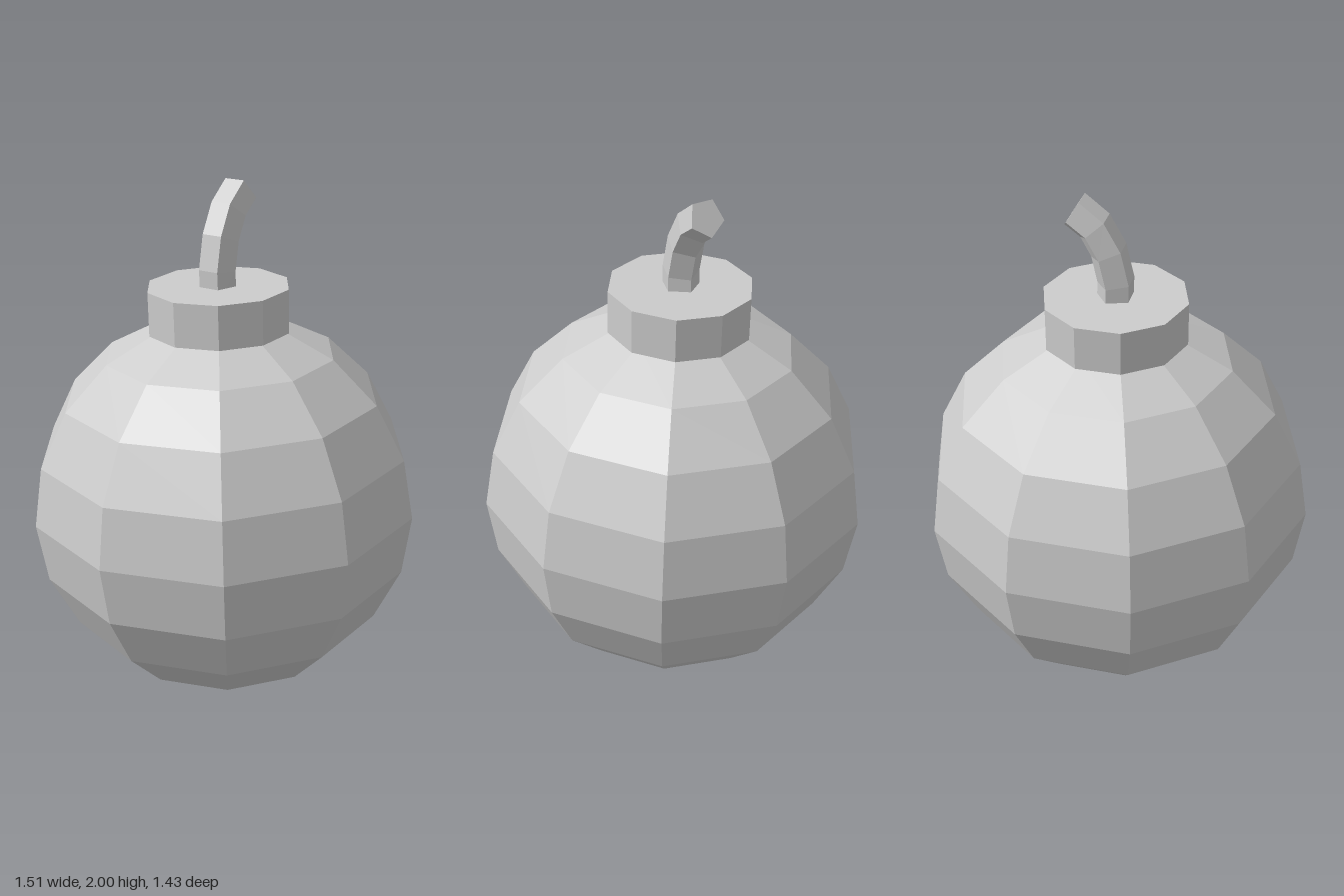
import * as THREE from 'three';

const SIDES = 10;
const CENTRE_Y = 0.758;

// Bent five-sided rod: one pentagon loop per centreline point, closed at both ends.
function bentRod(path, radius, sides) {
  const positions = [];
  const index = [];
  path.forEach(([x, y, lean]) => {
    // lean = angle of the rod away from vertical, towards +x
    for (let i = 0; i < sides; i++) {
      const a = (i / sides) * Math.PI * 2;
      const u = Math.cos(a) * radius;
      positions.push(x + u * Math.cos(lean), y - u * Math.sin(lean), -Math.sin(a) * radius);
    }
  });
  for (let r = 0; r < path.length - 1; r++) {
    for (let i = 0; i < sides; i++) {
      const a = r * sides + i;
      const b = r * sides + ((i + 1) % sides);
      index.push(a, b, b + sides, a, b + sides, a + sides);
    }
  }
  const last = (path.length - 1) * sides;
  for (let i = 1; i < sides - 1; i++) {
    index.push(0, i + 1, i);
    index.push(last, last + i, last + i + 1);
  }
  const geometry = new THREE.BufferGeometry();
  geometry.setAttribute('position', new THREE.Float32BufferAttribute(positions, 3));
  geometry.setIndex(index);
  geometry.computeVertexNormals();
  return geometry;
}

export function createModel() {
  const material = new THREE.MeshStandardMaterial({ color: 0xcccccc, flatShading: true });
  const model = new THREE.Group();
  model.name = 'roundBomb';

  // Everything leans back slightly about the centre of the ball
  const tilted = new THREE.Group();
  tilted.name = 'tiltedBody';
  tilted.position.y = CENTRE_Y;
  tilted.rotation.x = -0.03;
  model.add(tilted);

  const add = (name, geometry, y = 0) => {
    const mesh = new THREE.Mesh(geometry, material);
    mesh.name = name;
    mesh.position.y = y;
    tilted.add(mesh);
  };

  // Faceted ball
  add('ball', new THREE.SphereGeometry(0.753, SIDES, 10));

  // Neck collar, corners in line with those of the ball
  add('collar', new THREE.CylinderGeometry(0.273, 0.273, 0.168, SIDES, 1, false, Math.PI / 2), 0.784);

  // Curved fuse, sunk a little into the collar: x, y, lean
  const fusePath = [
    [0, 1.58, 0],
    [-0.003, 1.683, 0.14],
    [0.023, 1.8, 0.37],
    [0.074, 1.893, 0.7],
    [0.149, 1.951, 1.03],
  ].map(([x, y, lean]) => [x, y - CENTRE_Y, lean]);
  add('fuse', bentRod(fusePath, 0.071, 5));

  return model;
}
